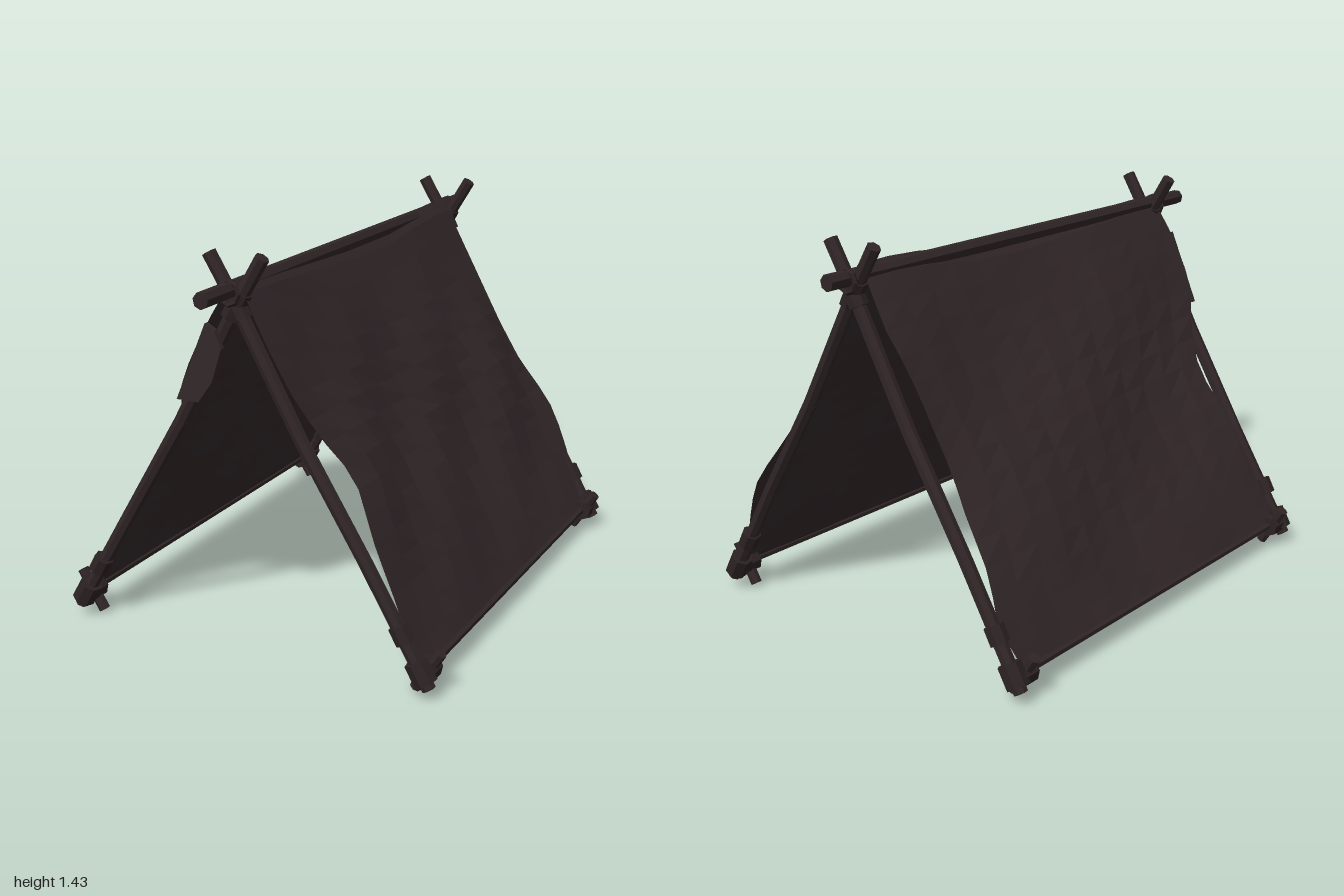
import * as THREE from 'three';

const cloth = new THREE.MeshStandardMaterial({ color: 0x33282a, flatShading: true, side: THREE.DoubleSide });
cloth.name = 'dark hide';
const wood = new THREE.MeshStandardMaterial({ color: 0x302526, flatShading: true });
wood.name = 'dark wood';
const rope = new THREE.MeshStandardMaterial({ color: 0x2c2223, flatShading: true });
rope.name = 'dark rope';

const V = (a) => new THREE.Vector3(...a);

// Straight stick between two points
function stick(name, a, b, r, mat = wood, sides = 7) {
  const p = V(a), q = V(b), d = q.clone().sub(p);
  const m = new THREE.Mesh(new THREE.CylinderGeometry(r, r, d.length(), sides), mat);
  m.position.copy(p).add(q).multiplyScalar(0.5);
  m.quaternion.setFromUnitVectors(new THREE.Vector3(0, 1, 0), d.normalize());
  m.name = name;
  return m;
}

// Slightly crooked pole: straight pieces meeting at the given points
function crookedPole(name, points, r) {
  const g = new THREE.Group();
  g.name = name;
  for (let i = 0; i < points.length - 1; i++) {
    g.add(stick(name + 'Part', points[i], points[i + 1], r));
  }
  return g;
}

// Read a value from a list of [t, value] pairs
function sample(pairs, t) {
  for (let i = 1; i < pairs.length; i++) {
    const [t0, v0] = pairs[i - 1], [t1, v1] = pairs[i];
    if (t <= t1) return v0 + (v1 - v0) * (t - t0) / (t1 - t0);
  }
  return pairs[pairs.length - 1][1];
}

// Ragged front and back edges of each side, from ridge (0) to ground rail (1)
const edges = {
  right: {
    front: [[0, 0.81], [0.15, 0.82], [0.25, 0.82], [0.35, 0.77], [0.5, 0.69], [0.65, 0.74], [0.85, 0.76], [0.92, 0.81], [1, 0.79]],
    back: [[0, -0.85], [0.15, -0.79], [0.38, -0.86], [0.55, -0.91], [0.65, -0.93], [0.75, -0.91], [0.86, -0.88], [1, -0.82]],
  },
  left: {
    front: [[0, 0.82], [0.1, 0.85], [0.25, 0.85], [0.35, 0.78], [0.5, 0.69], [0.7, 0.72], [0.85, 0.74], [0.91, 0.83], [1, 0.8]],
    back: [[0, -0.85], [0.13, -0.86], [0.3, -0.82], [0.5, -0.78], [0.72, -0.81], [0.87, -0.87], [1, -0.82]],
  },
};
// Sagging top line along z
const ridgeLine = [[-1, 1.345], [-0.85, 1.35], [-0.65, 1.355], [-0.45, 1.335], [-0.25, 1.31],
  [0, 1.312], [0.3, 1.328], [0.6, 1.345], [1, 1.345]];

// One rippled sheet from the ridge to the rail; s = +1 or -1
function clothSide(s) {
  const e = s > 0 ? edges.right : edges.left;
  const nu = 12, nv = 16, pos = [], idx = [];
  for (let j = 0; j <= nv; j++) {
    const t = Math.max(0, (j - 1) / (nv - 1));
    const z0 = sample(e.back, t), z1 = sample(e.front, t);
    for (let i = 0; i <= nu; i++) {
      const z = z0 + (z1 - z0) * i / nu;
      const top = sample(ridgeLine, z);
      if (j === 0) { pos.push(0, top, z); continue; }
      const fade = Math.sin(Math.PI * t);
      const d = fade * (-0.004 + 0.016 * Math.sin(z * 5 + t * 7 + s) + 0.012 * Math.sin(z * 11 - t * 9));
      const y0 = top - 0.045;
      pos.push(s * (0.035 + 0.65 * t + 0.87 * d), y0 + (0.08 - y0) * t + 0.49 * d, z);
    }
  }
  for (let j = 0; j < nv; j++) for (let i = 0; i < nu; i++) {
    const a = j * (nu + 1) + i, b = a + 1, c = a + nu + 1, f = c + 1;
    if (s > 0) idx.push(a, b, c, b, f, c);
    else idx.push(a, c, b, b, c, f);
  }
  const g = new THREE.BufferGeometry();
  g.setAttribute('position', new THREE.Float32BufferAttribute(pos, 3));
  g.setIndex(idx);
  g.computeVertexNormals();
  const m = new THREE.Mesh(g, cloth);
  m.name = s > 0 ? 'leftSheet' : 'rightSheet';
  return m;
}

export function createModel() {
  const model = new THREE.Group();
  model.name = 'tent';

  // Ridge pole
  model.add(stick('ridgePole', [0 - 0.008, 1.315, -1], [-0.008, 1.315, 1], 0.029));

  // Crossed end poles, slightly bowed
  for (const z of [0.8, -0.875]) {
    const end = z > 0 ? 'front' : 'back';
    for (const s of [-1, 1]) {
      const bow = z > 0 && s < 0 ? -0.02 : 0;
      model.add(crookedPole(end + (s > 0 ? 'Left' : 'Right') + 'Pole', [
        [s * 0.705, 0.045, z], [s * 0.47, 0.45, z + bow], [s * 0.235, 0.83, z + bow * 0.4],
        [0, 1.26, z], [-s * 0.1, 1.425, z],
      ], 0.025));

      // Corner peg crossing the pole foot
      const zp = z > 0 ? 0.755 : -0.83;
      model.add(stick('cornerPeg', [s * 0.635, 0.015, zp], [s * 0.725, 0.16, zp], 0.021));

      // Lashings around the pole foot and rail
      model.add(stick('footLashing', [s * 0.695, 0.065, z], [s * 0.655, 0.135, z], 0.042, rope));
      model.add(stick('railLashing', [s * 0.68, 0.09, zp - 0.035], [s * 0.68, 0.09, zp + 0.035], 0.04, rope));
      model.add(stick('clothTie', [s * 0.62, 0.195, z], [s * 0.59, 0.25, z], 0.036, rope));

      // Lashing at the crossing
      model.add(stick('topLashing', [s * 0.025, 1.215, z], [-s * 0.025, 1.305, z], 0.034, rope));
    }
    const ring = new THREE.Mesh(new THREE.TorusGeometry(0.038, 0.01, 5, 8), rope);
    ring.position.set(-0.008, 1.305, z + Math.sign(z) * 0.035);
    ring.name = 'ridgeLashing';
    model.add(ring);
  }

  // Ground rails and cloth sheets
  for (const s of [-1, 1]) {
    model.add(stick('groundRail', [s * 0.678, 0.092, -0.85], [s * 0.678, 0.092, 0.82], 0.014, wood, 6));
    model.add(clothSide(s));
  }

  // Loose corner of cloth folded in at the front
  const flap = new THREE.Shape([[-0.09, 1.2], [-0.055, 1.18], [-0.03, 1.12], [-0.07, 1.0],
    [-0.125, 0.925], [-0.21, 0.925]].map(([x, y]) => new THREE.Vector2(x, y)));
  const fold = new THREE.Mesh(new THREE.ExtrudeGeometry(flap, { depth: 0.02, bevelEnabled: false }), cloth);
  fold.position.z = 0.835;
  fold.name = 'foldedFlap';
  model.add(fold);

  return model;
}
